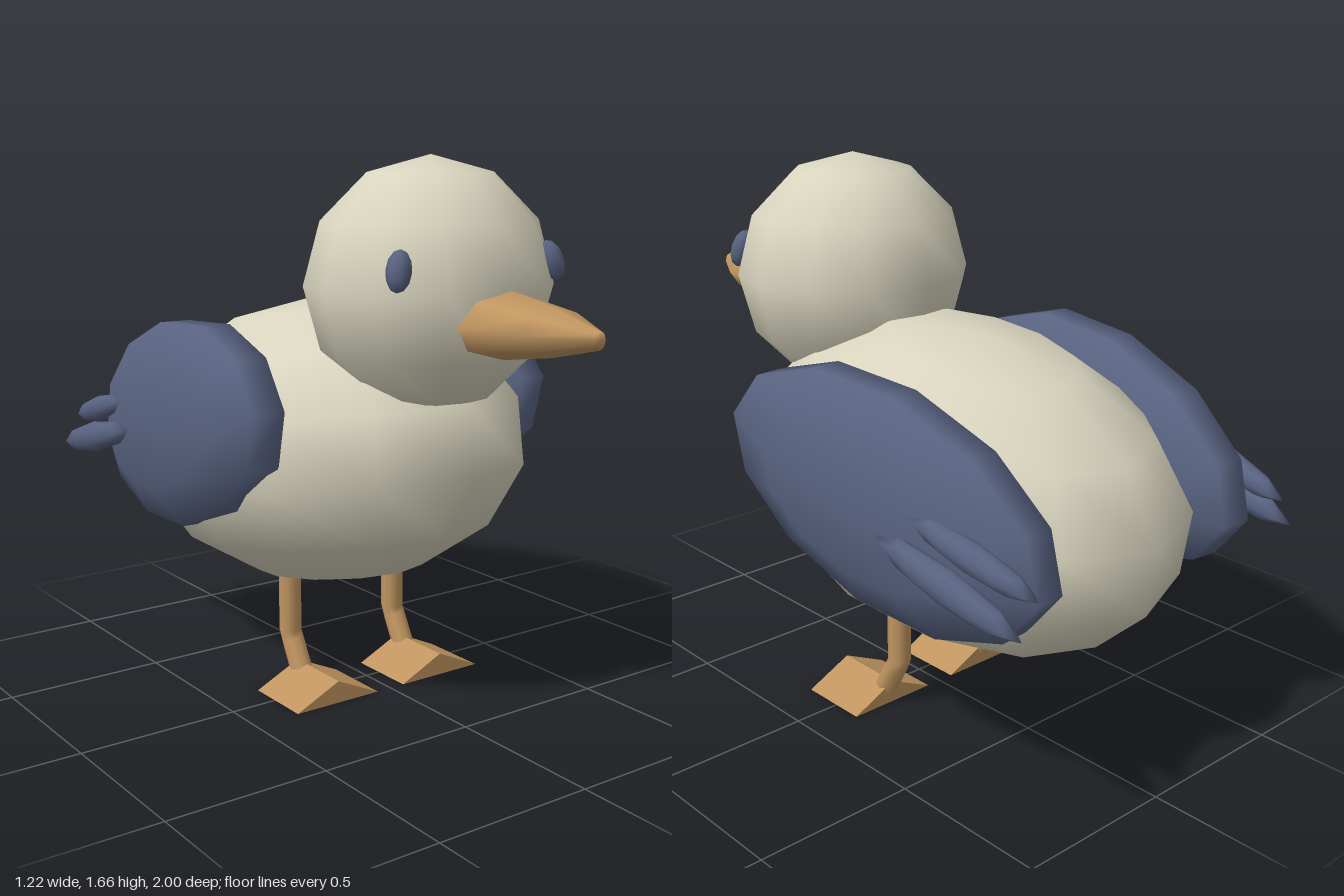
import * as THREE from 'three';

const flat = (name, color) => {
  const m = new THREE.MeshStandardMaterial({ color });
  m.name = name;
  return m;
};
const rad = THREE.MathUtils.degToRad;

export function createModel() {
  const cream = flat('cream', 0xd8d4be);
  const slate = flat('slate blue', 0x586280);
  const tan = flat('tan', 0xc09560);
  const model = new THREE.Group();
  model.name = 'bird';

  const add = (name, geometry, material) => {
    const mesh = new THREE.Mesh(geometry, material);
    mesh.name = name;
    model.add(mesh);
    return mesh;
  };

  // Low-poly ellipsoid; sidePoles lays its poles along x. Angles in degrees.
  const ellipsoid = (name, material, segs, radii, pos, rot = [0, 0, 0], sidePoles = false) => {
    const g = new THREE.SphereGeometry(1, ...segs);
    if (sidePoles) g.rotateZ(Math.PI / 2);
    g.scale(...radii);
    const mesh = add(name, g, material);
    mesh.position.set(...pos);
    mesh.rotation.set(...rot.map(rad), 'YXZ');
    return mesh;
  };

  // Body tilted nose-up, and head
  ellipsoid('body', cream, [12, 7], [0.55, 0.46, 0.758], [0, 0.75, -0.215], [-9, 0, 0]);
  ellipsoid('head', cream, [12, 6], [0.37, 0.37, 0.355], [0, 1.295, 0.31]);

  // Beak: tapered eight-sided rings, flattened most in the middle
  const rings = [[0.14, 0.6], [0.14, 0.64], [0.118, 0.83], [0.02, 1], [0, 1]];
  const beak = new THREE.LatheGeometry(rings.map((p) => new THREE.Vector2(...p)), 8);
  beak.rotateX(Math.PI / 2);
  const pos = beak.attributes.position;
  for (let i = 0; i < pos.count; i++) {
    const z = pos.getZ(i);
    pos.setY(i, pos.getY(i) * (z > 0.9 ? 1.25 : z > 0.7 ? 0.56 : 0.69));
  }
  beak.computeVertexNormals();
  add('beak', beak, tan).position.y = 1.215;

  // Foot wedge, shared by both sides
  const wedge = new THREE.Shape([
    new THREE.Vector2(-0.15, 0), new THREE.Vector2(0.15, 0), new THREE.Vector2(0, 0.07),
  ]);
  const footGeometry = new THREE.ExtrudeGeometry(wedge, { depth: 0.23, bevelEnabled: false });

  for (const [side, s] of [['left', 1], ['right', -1]]) {
    ellipsoid(side + 'Eye', slate, [8, 6], [0.036, 0.06, 0.036],
      [s * 0.275, 1.367, 0.525], [-18, s * 30, s * 8]);

    // Wing with two long feathers on its outer rear
    ellipsoid(side + 'Wing', slate, [12, 5], [0.16, 0.337, 0.622],
      [s * 0.44, 0.83, -0.355], [-12.5, s * 5.4, 0], true);
    ellipsoid(side + 'UpperFeather', slate, [8, 6], [0.04, 0.042, 0.222],
      [s * 0.525, 0.818, -0.785], [-15, s * 6, 0], true);
    ellipsoid(side + 'LowerFeather', slate, [8, 6], [0.04, 0.05, 0.265],
      [s * 0.57, 0.735, -0.74], [-14, s * 3, 0], true);

    // Bent leg
    const path = new THREE.CurvePath();
    const pts = [[0.39, -0.135], [0.16, -0.135], [0.03, -0.065]]
      .map(([y, z]) => new THREE.Vector3(s * 0.203, y, z));
    path.add(new THREE.LineCurve3(pts[0], pts[1]));
    path.add(new THREE.LineCurve3(pts[1], pts[2]));
    add(side + 'Leg', new THREE.TubeGeometry(path, 10, 0.036, 8), tan);

    add(side + 'Foot', footGeometry, tan).position.set(s * 0.2, 0, -0.1);
  }
  return model;
}
